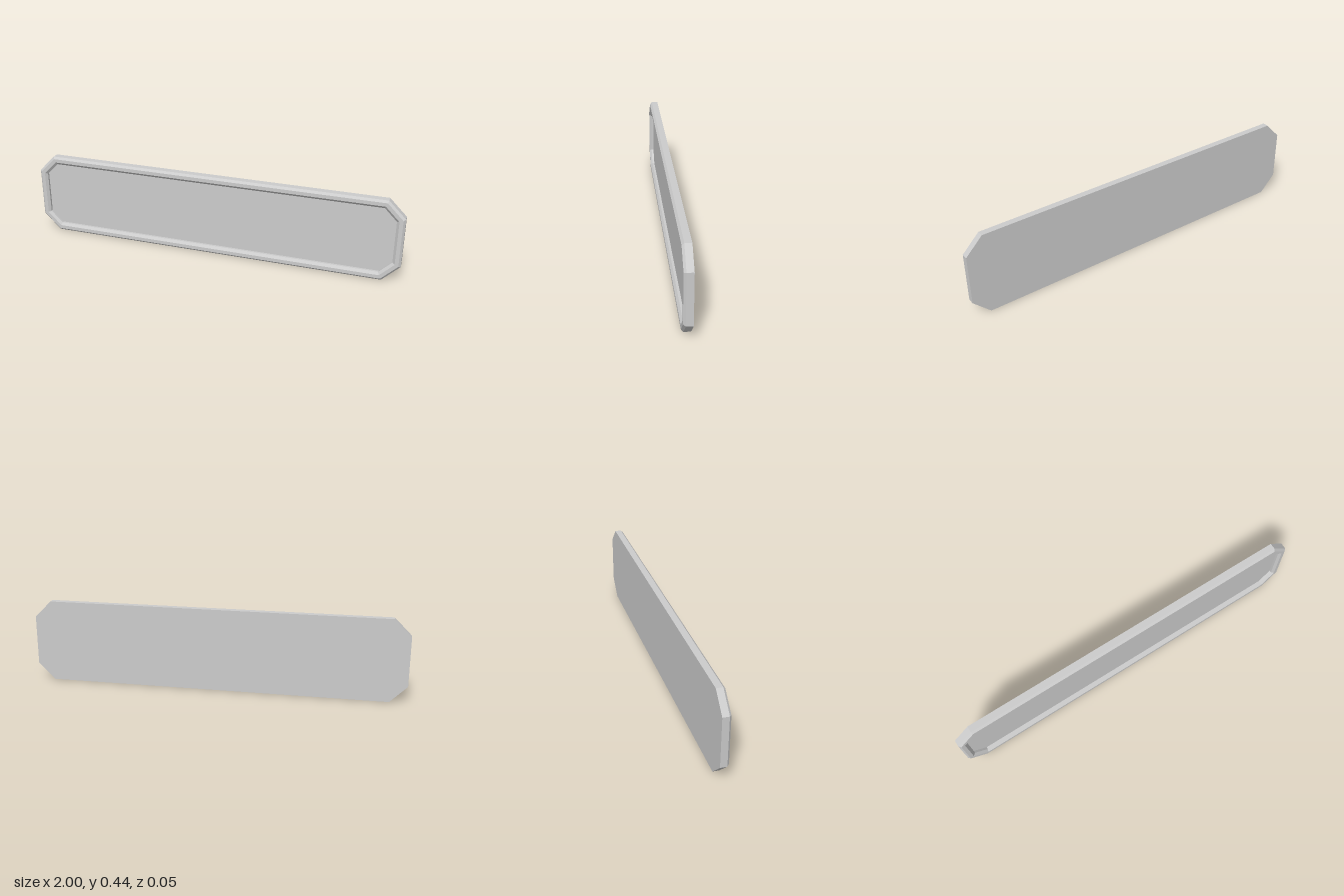
import * as THREE from 'three';

const W = 1, H = 0.445, CUT = 0.09;
const BACK = -0.022, PANEL = 0.0;

// Octagon with clipped corners, offset inwards; counter-clockwise from the front
function octagon(inset) {
  const x = W - inset, y0 = inset, y1 = H - inset;
  const c = CUT - inset * (2 - Math.SQRT2);
  return [
    [-x + c, y0], [x - c, y0], [x, y0 + c], [x, y1 - c],
    [x - c, y1], [-x + c, y1], [-x, y1 - c], [-x, y0 + c],
  ].map(([px, py]) => new THREE.Vector2(px, py));
}

// Sweep a profile of [inset, z] pairs round the octagon
function sweepFrame(profile) {
  const rings = profile.map(([inset, z]) => octagon(inset).map(p => [p.x, p.y, z]));
  const pos = [];
  for (let i = 0; i < rings.length - 1; i++) {
    for (let k = 0; k < 8; k++) {
      const n = (k + 1) % 8;
      const a = rings[i][k], b = rings[i][n], c = rings[i + 1][n], d = rings[i + 1][k];
      pos.push(...a, ...b, ...c, ...a, ...c, ...d);
    }
  }
  const geo = new THREE.BufferGeometry();
  geo.setAttribute('position', new THREE.Float32BufferAttribute(pos, 3));
  geo.computeVertexNormals();
  return geo;
}

export function createModel() {
  const group = new THREE.Group();
  group.name = 'plaque';
  const mat = new THREE.MeshStandardMaterial({ color: 0xcccccc, flatShading: true });
  const add = (name, geo) => {
    const mesh = new THREE.Mesh(geo, mat);
    mesh.name = name;
    group.add(mesh);
    return mesh;
  };

  // Outer wall, chamfer, flat rim, inner bevel and recess wall
  add('frame', sweepFrame([
    [0, BACK], [0, 0.012], [0.011, 0.023], [0.03, 0.023], [0.043, 0.012], [0.043, PANEL],
  ]));

  // Recessed front panel
  add('frontPanel', new THREE.ShapeGeometry(new THREE.Shape(octagon(0.043)))).position.z = PANEL;

  // Flat back, turned to face -z
  const back = add('backPanel', new THREE.ShapeGeometry(new THREE.Shape(octagon(0))));
  back.rotation.y = Math.PI;
  back.position.z = BACK;

  return group;
}
